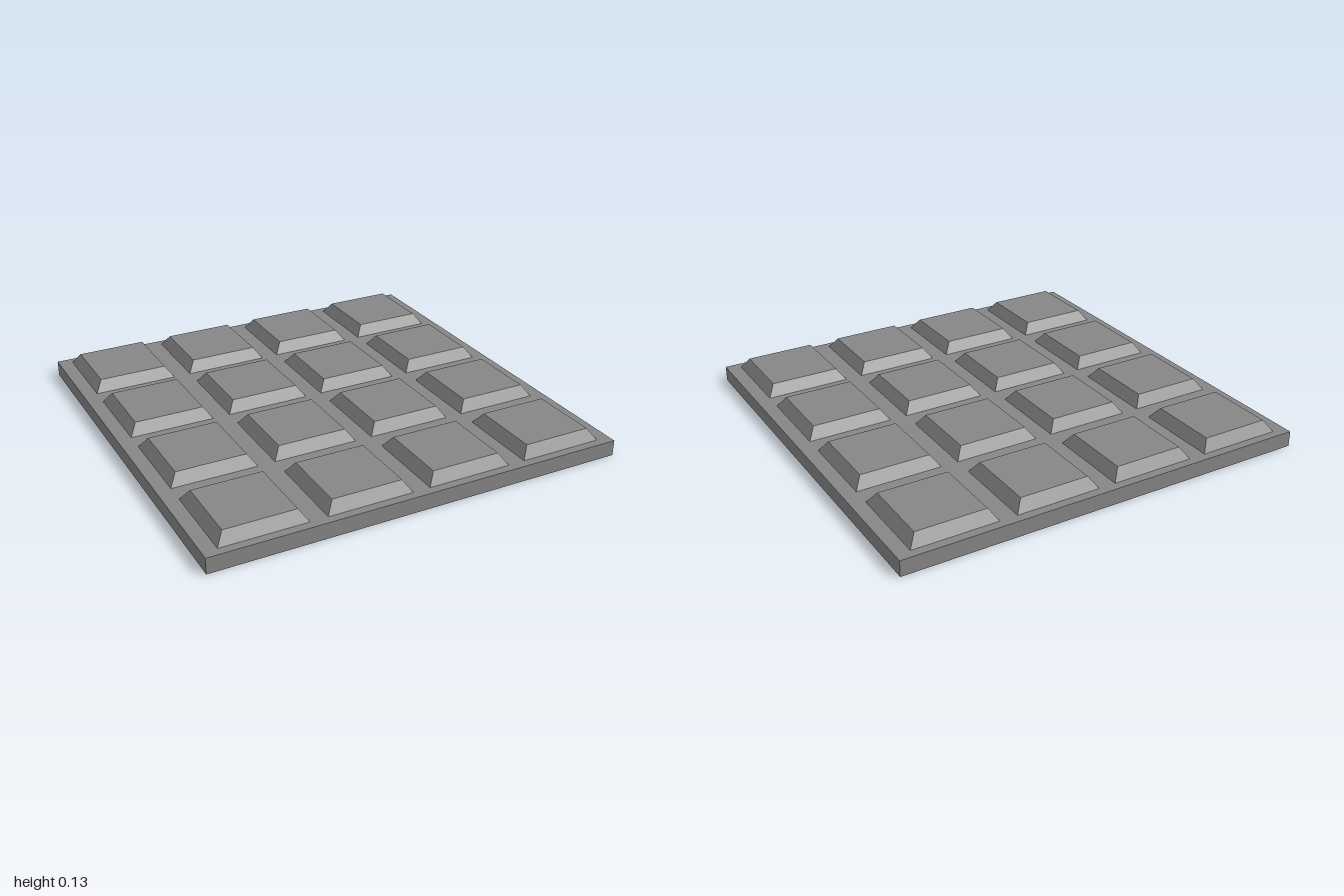
import * as THREE from 'three';

const SLAB = { width: 2, height: 0.075, depth: 1.98 };
const TILE = { base: 0.405, top: 0.332, height: 0.053 };
const PITCH_X = 0.487, PITCH_Z = 0.498, COUNT = 4;

// Square block whose upper corners are drawn in to make bevelled sides
function bevelledTile() {
  const geometry = new THREE.BoxGeometry(TILE.base, TILE.height, TILE.base);
  const pos = geometry.attributes.position;
  const taper = TILE.top / TILE.base;
  for (let i = 0; i < pos.count; i++) {
    if (pos.getY(i) > 0) {
      pos.setX(i, pos.getX(i) * taper);
      pos.setZ(i, pos.getZ(i) * taper);
    }
  }
  geometry.computeVertexNormals();
  return geometry;
}

export function createModel() {
  const model = new THREE.Group();
  model.name = 'tiledPanel';
  const material = new THREE.MeshStandardMaterial({ color: 0x868686, flatShading: true });

  // Base slab
  const slab = new THREE.Mesh(new THREE.BoxGeometry(SLAB.width, SLAB.height, SLAB.depth), material);
  slab.name = 'baseSlab';
  slab.position.y = SLAB.height / 2;
  model.add(slab);

  // Grid of raised tiles
  const tiles = new THREE.Group();
  tiles.name = 'raisedTiles';
  const geometry = bevelledTile();
  const middle = (COUNT - 1) / 2;
  for (let row = 0; row < COUNT; row++) {
    for (let col = 0; col < COUNT; col++) {
      const tile = new THREE.Mesh(geometry, material);
      tile.name = `tileRow${row + 1}Column${col + 1}`;
      tile.position.set(
        (col - middle) * PITCH_X,
        SLAB.height + TILE.height / 2,
        (row - middle) * PITCH_Z
      );
      tiles.add(tile);
    }
  }
  model.add(tiles);
  return model;
}
